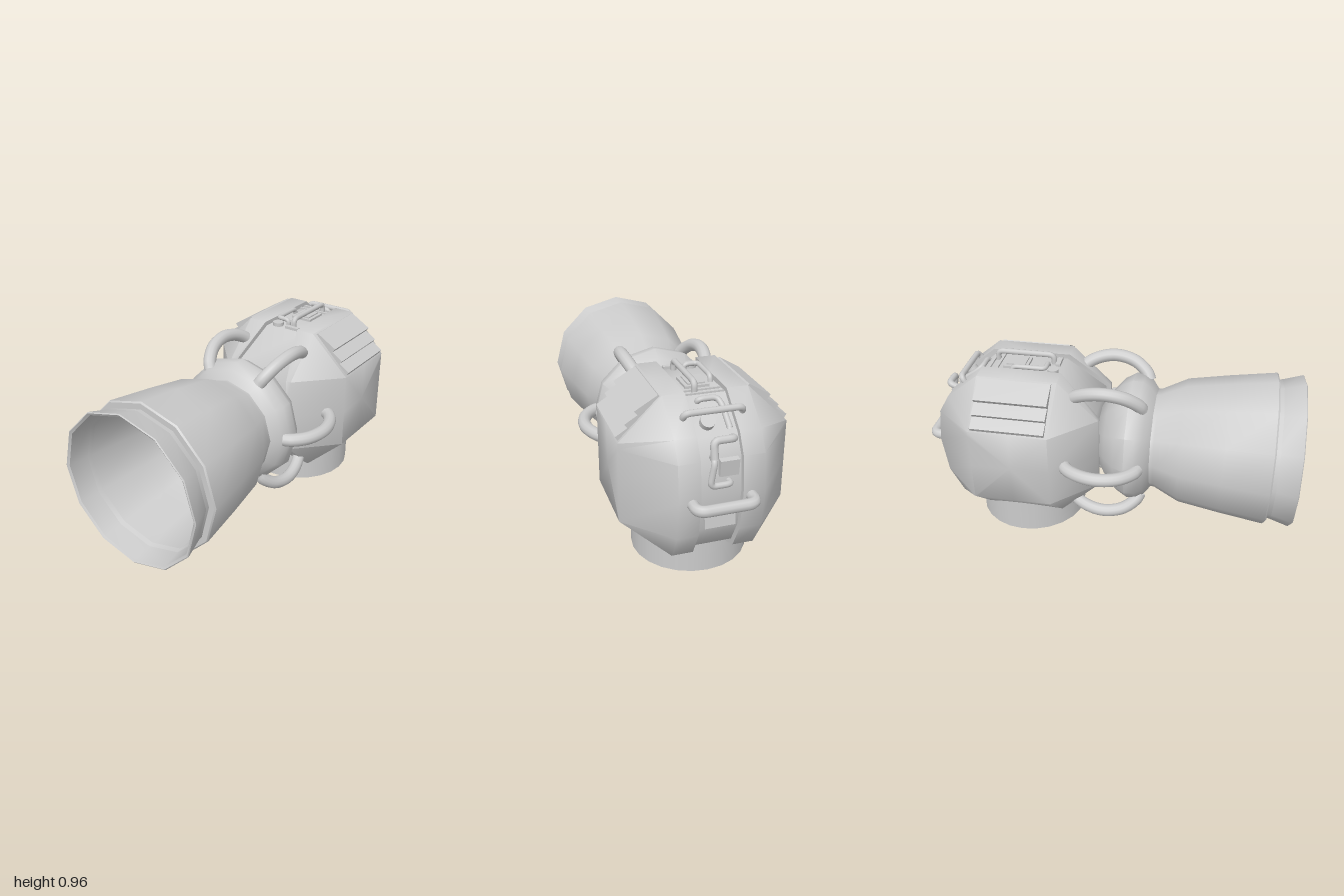
import * as THREE from 'three';
import { toCreasedNormals } from 'three/addons/utils/BufferGeometryUtils.js';

const CY = 0.505, CZ = -0.455;

export function createModel() {
  const model = new THREE.Group();
  const grey = new THREE.MeshStandardMaterial({ color: 0xcccccc });
  const greyDouble = new THREE.MeshStandardMaterial({ color: 0xcccccc, side: THREE.DoubleSide });
  const V = (x, y, z) => new THREE.Vector3(x, y, z);

  function add(name, geometry, material = grey) {
    const mesh = new THREE.Mesh(geometry, material);
    mesh.name = name;
    model.add(mesh);
    return mesh;
  }

  // Straight pipe runs joined by rounded corners
  function pipe(name, pts, radius, bend = 0.04) {
    const path = new THREE.CurvePath();
    let from = pts[0];
    for (let i = 1; i < pts.length - 1; i++) {
      const p = pts[i];
      const cut = (q) => p.clone().add(q.clone().sub(p).setLength(Math.min(bend, p.distanceTo(q) * 0.45)));
      const a = cut(pts[i - 1]), b = cut(pts[i + 1]);
      path.add(new THREE.LineCurve3(from, a));
      path.add(new THREE.QuadraticBezierCurve3(a, p, b));
      from = b;
    }
    path.add(new THREE.LineCurve3(from, pts[pts.length - 1]));
    add(name, new THREE.TubeGeometry(path, pts.length * 14, radius, 10), greyDouble);
  }

  function box(name, size, pos, tilt = 0) {
    const mesh = add(name, new THREE.BoxGeometry(...size));
    mesh.position.set(...pos);
    mesh.rotation.x = tilt;
  }

  function disc(name, r, h, pos, tilt = 0) {
    const mesh = add(name, new THREE.CylinderGeometry(r, r, h, 14));
    mesh.position.set(...pos);
    mesh.rotation.x = tilt;
  }

  // Hull: octagonal side profile (z, y) lofted across x, with a sunken centre channel
  const profile = [
    [-0.24, 0.915], [-0.45, 0.915], [-0.66, 0.915], [-0.83, 0.775], [-0.885, 0.68], [-0.905, 0.5],
    [-0.88, 0.3], [-0.81, 0.165], [-0.65, 0.1], [-0.45, 0.1], [-0.24, 0.1],
    [-0.03, 0.3], [-0.03, 0.5], [-0.03, 0.71],
  ];
  const clamp = THREE.MathUtils.clamp;
  const halfWidth = (z) => 0.1 + Math.max(0, z + 0.25) * 0.35;
  const sideRing = (s) => profile.map(([z, y]) => [s * 0.415, clamp(y, 0.3, 0.71), clamp(z, -0.66, -0.25)]);
  const shoulderRing = (s) => profile.map(([z, y]) => [s * 0.205, y, z]);
  const lipRing = (s) => profile.map(([z, y]) => [s * halfWidth(z), y, z]);
  const channelRing = (s) => profile.map(([z, y]) =>
    [s * halfWidth(z), CY + (y - CY) * 0.94, CZ + (z - CZ) * 0.94]);
  const rings = [
    sideRing(-1), shoulderRing(-1), lipRing(-1), channelRing(-1),
    channelRing(1), lipRing(1), shoulderRing(1), sideRing(1),
  ];
  const n = profile.length, pos = rings.flat(2), index = [];
  for (let i = 0; i < rings.length - 1; i++) {
    for (let j = 0; j < n; j++) {
      const k = (j + 1) % n, a = i * n + j, b = i * n + k;
      index.push(a, a + n, b + n, a, b + n, b);
    }
  }
  const last = (rings.length - 1) * n, centre = rings.length * n;
  pos.push(-0.415, CY, CZ, 0.415, CY, CZ);
  for (let j = 0; j < n; j++) {
    const k = (j + 1) % n;
    index.push(centre, j, k, centre + 1, last + k, last + j);
  }
  const hull = new THREE.BufferGeometry();
  hull.setAttribute('position', new THREE.Float32BufferAttribute(pos, 3));
  hull.setIndex(index);
  add('hull', toCreasedNormals(hull, 0.9));

  // Stepped armour plates on the upper shoulders
  for (const s of [-1, 1]) {
    const outline = [
      [0.2, 0.9], [0.22, 0.913], [0.33, 0.848], [0.315, 0.828], [0.376, 0.79],
      [0.362, 0.772], [0.42, 0.735], [0.405, 0.71], [0.35, 0.71],
    ].map(([x, y]) => new THREE.Vector2(s * x, y));
    const plates = new THREE.ExtrudeGeometry(new THREE.Shape(outline), { depth: 0.38, bevelEnabled: false });
    plates.translate(0, 0, -0.645);
    add(s > 0 ? 'leftShoulderPlates' : 'rightShoulderPlates', plates);
  }

  // Open mounting socket underneath
  const socket = new THREE.CylinderGeometry(0.297, 0.297, 0.24, 24, 1, true);
  socket.translate(0, 0.12, CZ);
  add('mountSocket', socket, greyDouble);

  // Twelve-sided nozzle: neck bulge, flared bell, stepped collar and hollow inside
  const bell = [
    [0, -0.045], [0.17, -0.045], [0.24, 0.0], [0.31, 0.06], [0.345, 0.12], [0.34, 0.17], [0.315, 0.21],
    [0.268, 0.245], [0.27, 0.265], [0.336, 0.4], [0.372, 0.62], [0.406, 0.86], [0.4, 0.868], [0.367, 0.868],
    [0.405, 0.996], [0.4, 1.0], [0.388, 0.992], [0.375, 0.9], [0.335, 0.6], [0.3, 0.42],
    [0.25, 0.29], [0.17, 0.21], [0.08, 0.175], [0, 0.165],
  ].map(([r, z]) => new THREE.Vector2(r, z));
  const nozzle = new THREE.LatheGeometry(bell, 12);
  nozzle.rotateX(Math.PI / 2);
  nozzle.translate(0, CY, 0);
  add('nozzle', toCreasedNormals(nozzle, 0.75), greyDouble);

  // Six hoses arching from the nozzle neck to the hull
  const arch = [[0.31, 0.19], [0.345, 0.175], [0.405, 0.105], [0.43, 0], [0.41, -0.1], [0.365, -0.17], [0.3, -0.205]];
  for (let i = 0; i < 6; i++) {
    const a = (i * Math.PI) / 3;
    const curve = new THREE.CatmullRomCurve3(arch.map(([r, z]) => V(r * Math.cos(a), CY + r * Math.sin(a), z)));
    add('hose' + (i + 1), new THREE.TubeGeometry(curve, 28, 0.034, 12), greyDouble);
  }

  // Grab handles on the back, rear slope and top
  pipe('backHandle', [V(-0.14, 0.485, -0.87), V(-0.14, 0.485, -0.972), V(0.14, 0.485, -0.972), V(0.14, 0.485, -0.87)], 0.027, 0.05);
  pipe('slopeHandle', [V(-0.14, 0.8, -0.73), V(-0.14, 0.865, -0.77), V(0.14, 0.865, -0.77), V(0.14, 0.8, -0.73)], 0.016, 0.03);
  pipe('topHandle', [V(0.038, 0.88, -0.31), V(0.038, 0.941, -0.31), V(0.038, 0.941, -0.615), V(0.038, 0.88, -0.615)], 0.015, 0.03);

  // Channel details on the top
  pipe('topPipe', [V(-0.08, 0.88, -0.51), V(-0.08, 0.92, -0.5), V(-0.08, 0.92, -0.33), V(-0.01, 0.92, -0.33), V(-0.01, 0.88, -0.33)], 0.013, 0.025);
  box('topPlate', [0.12, 0.02, 0.13], [0.005, 0.893, -0.5]);
  box('topPlateCover', [0.085, 0.03, 0.1], [0.005, 0.895, -0.5]);
  disc('topCap', 0.03, 0.035, [-0.055, 0.893, -0.295]);
  box('topLatch', [0.08, 0.025, 0.025], [0.045, 0.892, -0.285]);
  for (let i = 0; i < 2; i++) box('crossRib', [0.19, 0.02, 0.012], [0, 0.889, -0.595 - i * 0.04]);
  for (let i = 0; i < 4; i++) {
    const z = -0.235 + i * 0.035;
    box('frontRib', [0.19, 0.016, 0.012], [0, 0.875 - (z + 0.26) * 0.98, z], Math.PI / 4);
  }

  // Channel details on the rear slope
  const slope = -0.69;
  disc('slopeCap', 0.035, 0.04, [0.03, 0.808, -0.765], slope);
  pipe('slopePipe', [V(-0.06, 0.79, -0.81), V(-0.06, 0.86, -0.71), V(-0.045, 0.885, -0.68), V(0.045, 0.885, -0.68), V(0.045, 0.85, -0.66)], 0.014, 0.03);
  pipe('slopeHook', [V(-0.06, 0.75, -0.83), V(-0.06, 0.77, -0.875), V(0.04, 0.77, -0.875), V(0.04, 0.69, -0.895)], 0.018, 0.03);

  // Channel details on the back
  pipe('backPipe', [V(0.04, 0.69, -0.86), V(0.04, 0.68, -0.9), V(0.06, 0.56, -0.9), V(-0.04, 0.56, -0.9), V(-0.04, 0.56, -0.86)], 0.015, 0.03);
  box('backPlate', [0.09, 0.08, 0.03], [-0.035, 0.635, -0.877], -0.1);
  box('backPanel', [0.15, 0.1, 0.02], [0, 0.385, -0.875], 0.12);

  return model;
}
